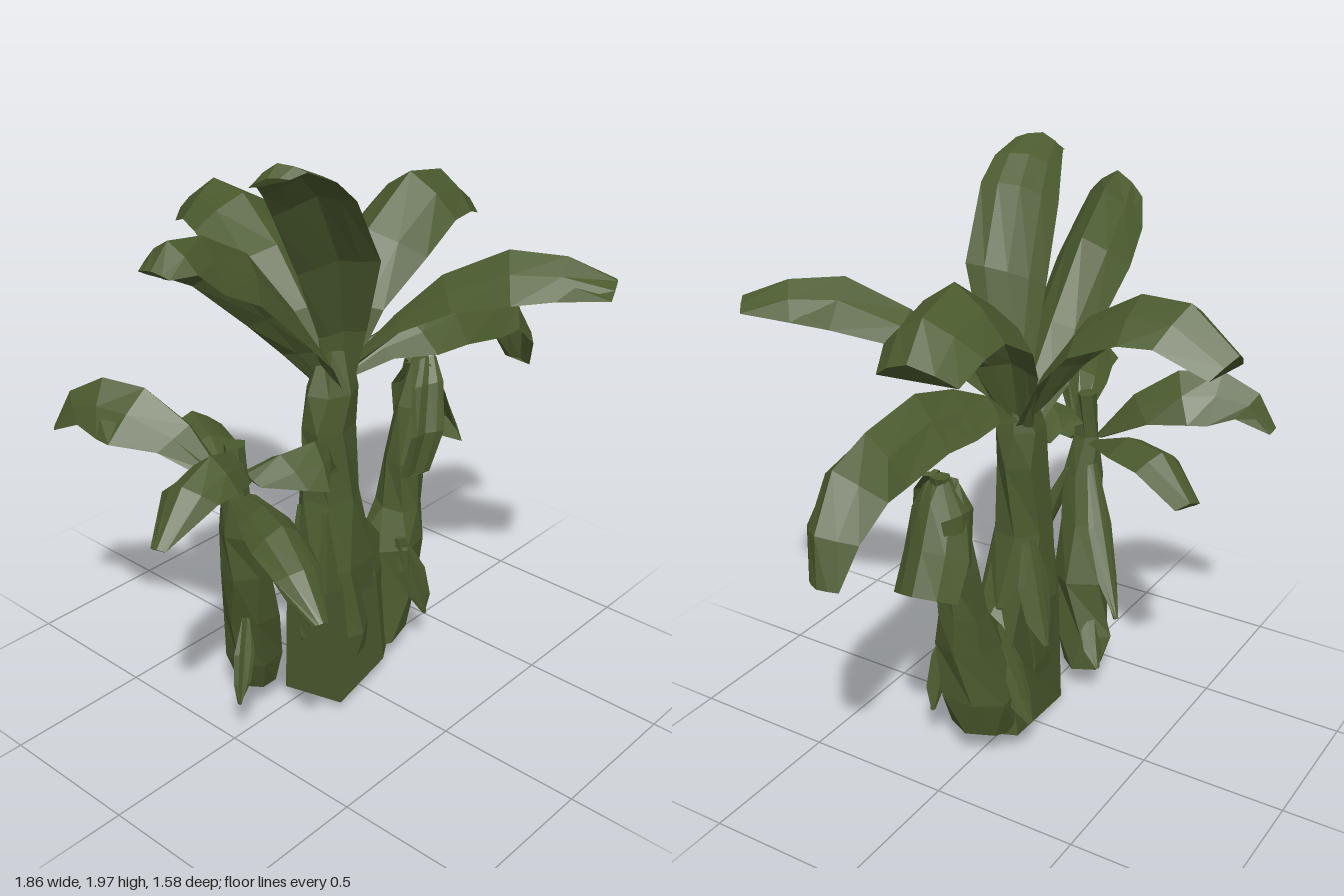
import * as THREE from 'three';

const leafGreen = new THREE.MeshStandardMaterial({ color: 0x4b5a2e, flatShading: true, side: THREE.DoubleSide });
leafGreen.name = 'leafGreen';

let seed = 7;
const rand = () => ((seed = (seed * 16807) % 2147483647) / 2147483647) - 0.5;

// Joins closed rings of equal length into one surface with capped ends
function loft(name, rings) {
  const n = rings[0].length, pos = [], idx = [];
  rings.forEach(r => r.forEach(p => pos.push(p.x, p.y, p.z)));
  for (let i = 0; i < rings.length - 1; i++) {
    for (let j = 0; j < n; j++) {
      const a = i * n + j, b = i * n + (j + 1) % n;
      idx.push(a, a + n, b, b, a + n, b + n);
    }
  }
  const last = (rings.length - 1) * n;
  for (let j = 1; j < n - 1; j++) idx.push(0, j, j + 1, last, last + j + 1, last + j);
  const g = new THREE.BufferGeometry();
  g.setAttribute('position', new THREE.Float32BufferAttribute(pos, 3));
  g.setIndex(idx);
  g.computeVertexNormals();
  const mesh = new THREE.Mesh(g, leafGreen);
  mesh.name = name;
  return mesh;
}

// Stem rings: [x, y, z, radiusX, radiusZ, slope of the ring along x]
function stem(name, rows, sides = 7, rough = 0.16) {
  return loft(name, rows.map(([x, y, z, rx, rz, slope = 0], i) =>
    Array.from({ length: sides }, (_, j) => {
      const a = -(j + (i % 2) * 0.3) / sides * Math.PI * 2;
      const k = 1 + rand() * rough;
      const dx = Math.cos(a) * rx * k;
      return new THREE.Vector3(x + dx, y + dx * slope, z + Math.sin(a) * rz * k);
    })));
}

// Leaf along its midrib: rows are [x, y, z, halfWidth, droop of the edges]
const SECTION = [-1, -0.55, 0, 0.55, 1];
function leaf(name, rows, side) {
  const pts = rows.map(r => new THREE.Vector3(r[0], r[1], r[2]));
  const run = pts[pts.length - 1].clone().sub(pts[0]);
  const s = (side ? new THREE.Vector3(...side) : new THREE.Vector3(-run.z, 0, run.x)).normalize();
  return loft(name, rows.map((r, i) => {
    const t = pts[Math.min(i + 1, pts.length - 1)].clone().sub(pts[Math.max(i - 1, 0)]);
    const up = s.clone().cross(t).normalize();
    const at = (u, thick) => pts[i].clone()
      .addScaledVector(s, u * r[3] * (1 + rand() * 0.12))
      .addScaledVector(up, -r[4] * Math.pow(Math.abs(u), 1.4) - thick);
    return [...SECTION.map(u => at(u, 0)), ...[0.55, 0, -0.55].map(u => at(u, 0.015))];
  }));
}

export function createModel() {
  const model = new THREE.Group();
  model.name = 'bananaPlants';

  // Tall middle plant
  const tall = new THREE.Group();
  tall.name = 'tallPlant';
  tall.add(stem('tallTrunk', [
    [-0.03, 0.08, 0.03, 0.12, 0.1], [-0.035, 0.25, 0.03, 0.145, 0.12],
    [-0.03, 0.5, 0.01, 0.155, 0.12], [-0.03, 0.75, 0, 0.1, 0.1],
    [-0.03, 1.0, 0, 0.105, 0.085], [-0.02, 1.12, 0, 0.09, 0.08], [0, 1.26, 0, 0.045, 0.05]]));

  // Angular foot that joins the trunk to the broken plant, corners as [x, y, z]
  const foot = [
    [[-0.18, 0, -0.07], [0.2, 0.08, -0.12], [0.29, 0.1, 0.02], [0.11, 0.06, 0.13], [-0.16, 0.04, 0.17]],
    [[-0.185, 0.48, -0.05], [0.2, 0.38, -0.09], [0.28, 0.4, 0.02], [0.1, 0.4, 0.1], [-0.17, 0.46, 0.12]],
    [[-0.13, 0.72, -0.05], [0.05, 0.66, -0.07], [0.09, 0.52, 0.02], [0.05, 0.66, 0.07], [-0.12, 0.72, 0.07]]];
  tall.add(loft('foot', foot.map(r => r.map(p => new THREE.Vector3(...p)).reverse())));

  tall.add(leaf('backLeaf', [
    [0.01, 1.15, -0.02, 0.04, 0.01], [0.0, 1.36, -0.12, 0.12, 0.05], [0.0, 1.54, -0.25, 0.185, 0.09],
    [0.05, 1.66, -0.45, 0.175, 0.11], [0.08, 1.67, -0.62, 0.145, 0.11], [0.12, 1.56, -0.79, 0.09, 0.07]]));
  tall.add(leaf('frontLeaf', [
    [0.02, 1.2, 0.03, 0.03, 0.01], [0.1, 1.38, 0.16, 0.075, 0.04], [0.18, 1.52, 0.28, 0.13, 0.09],
    [0.27, 1.62, 0.46, 0.16, 0.12], [0.36, 1.61, 0.61, 0.13, 0.1], [0.42, 1.55, 0.75, 0.1, 0.03]]));
  tall.add(leaf('upperLeftLeaf', [
    [0.02, 1.15, -0.02, 0.05, 0.02], [0.08, 1.38, -0.03, 0.11, 0.06], [0.2, 1.59, -0.04, 0.17, 0.13],
    [0.42, 1.73, -0.05, 0.165, 0.15], [0.62, 1.69, -0.08, 0.155, 0.12], [0.74, 1.6, -0.11, 0.13, 0.08]]));
  tall.add(leaf('lowerLeftLeaf', [
    [0.02, 1.16, 0.0, 0.04, 0.01], [0.12, 1.26, 0.04, 0.08, 0.07], [0.25, 1.32, 0.08, 0.12, 0.13],
    [0.42, 1.36, 0.1, 0.12, 0.16], [0.65, 1.32, 0.11, 0.12, 0.16], [0.8, 1.26, 0.115, 0.12, 0.13],
    [0.9, 1.1, 0.11, 0.105, 0.08], [0.93, 0.95, 0.09, 0.06, 0.03]]));
  // This one is rolled so that its front edge stands higher
  tall.add(leaf('uprightLeaf', [
    [0.0, 1.14, 0.02, 0.05, 0.01], [0.0, 1.33, 0.04, 0.08, 0.03], [-0.08, 1.6, 0.09, 0.13, 0.05],
    [-0.22, 1.84, 0.13, 0.13, 0.06], [-0.31, 1.92, 0.15, 0.11, 0.05], [-0.41, 1.97, 0.16, 0.08, 0.04],
    [-0.46, 1.94, 0.17, 0.06, 0.02]], [-0.45, -0.25, -0.85]));
  tall.add(leaf('rightLeaf', [
    [-0.01, 1.13, 0, 0.06, 0.02], [-0.07, 1.27, -0.01, 0.1, 0.06], [-0.17, 1.43, -0.02, 0.12, 0.1],
    [-0.36, 1.66, -0.02, 0.13, 0.14], [-0.56, 1.77, 0.01, 0.125, 0.14], [-0.71, 1.8, 0.04, 0.1, 0.08],
    [-0.79, 1.74, 0.06, 0.06, 0.02]]));
  model.add(tall);

  // Small plant on the model's right
  const small = new THREE.Group();
  small.name = 'smallPlant';
  small.add(stem('smallTrunk', [
    [-0.3, 0.1, -0.09, 0.07, 0.08], [-0.34, 0.22, -0.08, 0.09, 0.1], [-0.37, 0.42, -0.04, 0.1, 0.1],
    [-0.41, 0.62, -0.01, 0.09, 0.085], [-0.44, 0.78, 0, 0.07, 0.065], [-0.46, 0.92, 0, 0.04, 0.045],
    [-0.45, 1.08, 0, 0.035, 0.035]], 6, 0.35));
  small.add(leaf('smallBackLeaf', [
    [-0.45, 0.94, -0.05, 0.03, 0.01], [-0.48, 1.1, -0.17, 0.1, 0.09], [-0.53, 1.2, -0.31, 0.14, 0.15],
    [-0.58, 1.21, -0.45, 0.12, 0.16], [-0.62, 1.14, -0.57, 0.075, 0.1], [-0.64, 1.02, -0.63, 0.04, 0.02]]));
  small.add(leaf('smallBackInnerLeaf', [
    [-0.43, 0.92, -0.05, 0.03, 0.01], [-0.35, 1.0, -0.22, 0.09, 0.05],
    [-0.28, 1.01, -0.38, 0.09, 0.06], [-0.19, 0.9, -0.53, 0.05, 0.02]]));
  small.add(leaf('smallFrontLeaf', [
    [-0.45, 0.92, 0.03, 0.04, 0.01], [-0.52, 0.97, 0.18, 0.08, 0.06], [-0.58, 0.98, 0.32, 0.09, 0.08],
    [-0.63, 0.91, 0.45, 0.075, 0.05], [-0.66, 0.79, 0.55, 0.02, 0.01]]));
  small.add(leaf('smallOuterLeaf', [
    [-0.44, 0.98, 0.03, 0.03, 0.01], [-0.54, 1.12, 0.08, 0.09, 0.08], [-0.68, 1.18, 0.14, 0.1, 0.1],
    [-0.81, 1.14, 0.16, 0.09, 0.07], [-0.93, 1.0, 0.18, 0.025, 0.01]]));
  small.add(leaf('smallInnerLeaf', [
    [-0.46, 1.0, 0.05, 0.06, 0.03], [-0.38, 1.06, 0.12, 0.11, 0.09], [-0.26, 1.07, 0.15, 0.115, 0.12],
    [-0.18, 1.02, 0.13, 0.09, 0.07], [-0.14, 0.94, 0.12, 0.05, 0.02]]));
  model.add(small);

  // Broken plant on the model's left
  const broken = new THREE.Group();
  broken.name = 'brokenPlant';
  broken.add(stem('brokenTrunk', [
    [0.2, 0.09, 0.01, 0.11, 0.11, 0.2], [0.24, 0.25, 0.0, 0.12, 0.14], [0.26, 0.45, 0.02, 0.12, 0.11],
    [0.31, 0.58, 0.03, 0.075, 0.085], [0.32, 0.75, 0.03, 0.065, 0.075], [0.35, 0.95, 0.03, 0.05, 0.055],
    [0.4, 1.1, 0.03, 0.03, 0.03]], 7, 0.25));
  broken.add(leaf('foldedOuterLeaf', [
    [0.39, 1.1, 0.03, 0.05, 0.01], [0.47, 1.04, 0.02, 0.09, 0.08],
    [0.55, 0.92, 0.0, 0.11, 0.11], [0.62, 0.8, -0.01, 0.11, 0.1]]));
  broken.add(leaf('foldedInnerLeaf', [
    [0.41, 1.1, 0.05, 0.03, 0.01], [0.36, 1.03, 0.09, 0.06, 0.02],
    [0.31, 0.88, 0.12, 0.07, 0.03], [0.28, 0.73, 0.1, 0.06, 0.02]], [1, 0, 0.3]));
  broken.add(leaf('foldedBackLeaf', [
    [0.4, 1.09, 0.0, 0.04, 0.01], [0.42, 1.0, -0.06, 0.07, 0.02], [0.43, 0.82, -0.08, 0.04, 0.02]], [1, 0, 0.2]));
  model.add(broken);

  // Dry leaves and loose sheaths hanging on the stems: [top, bottom, halfWidth]
  const dry = new THREE.Group();
  dry.name = 'dryLeaves';
  const hanging = [
    [[-0.4, 0.84, -0.06], [-0.23, 0.36, -0.26], 0.05],
    [[-0.4, 0.8, 0.03], [-0.27, 0.4, 0.14], 0.05],
    [[-0.43, 0.45, 0], [-0.51, 0.17, 0.04], 0.035],
    [[-0.34, 0.4, -0.1], [-0.23, 0.13, -0.19], 0.05],
    [[0.22, 0.5, 0.1], [0.32, 0.16, 0.14], 0.05],
    [[0.22, 0.5, -0.05], [0.2, 0.15, -0.17], 0.06],
    [[0.06, 0.75, -0.08], [0.1, 0.4, -0.17], 0.06]];
  for (const [a, b, w] of hanging) {
    const mid = f => a.map((v, i) => v + (b[i] - v) * f);
    dry.add(leaf('dryLeaf', [
      [...a, w * 0.4, 0.005], [...mid(0.4), w, 0.02], [...mid(0.75), w * 0.8, 0.02], [...b, w * 0.15, 0]], [1, 0, 0.5]));
  }
  model.add(dry);
  return model;
}
